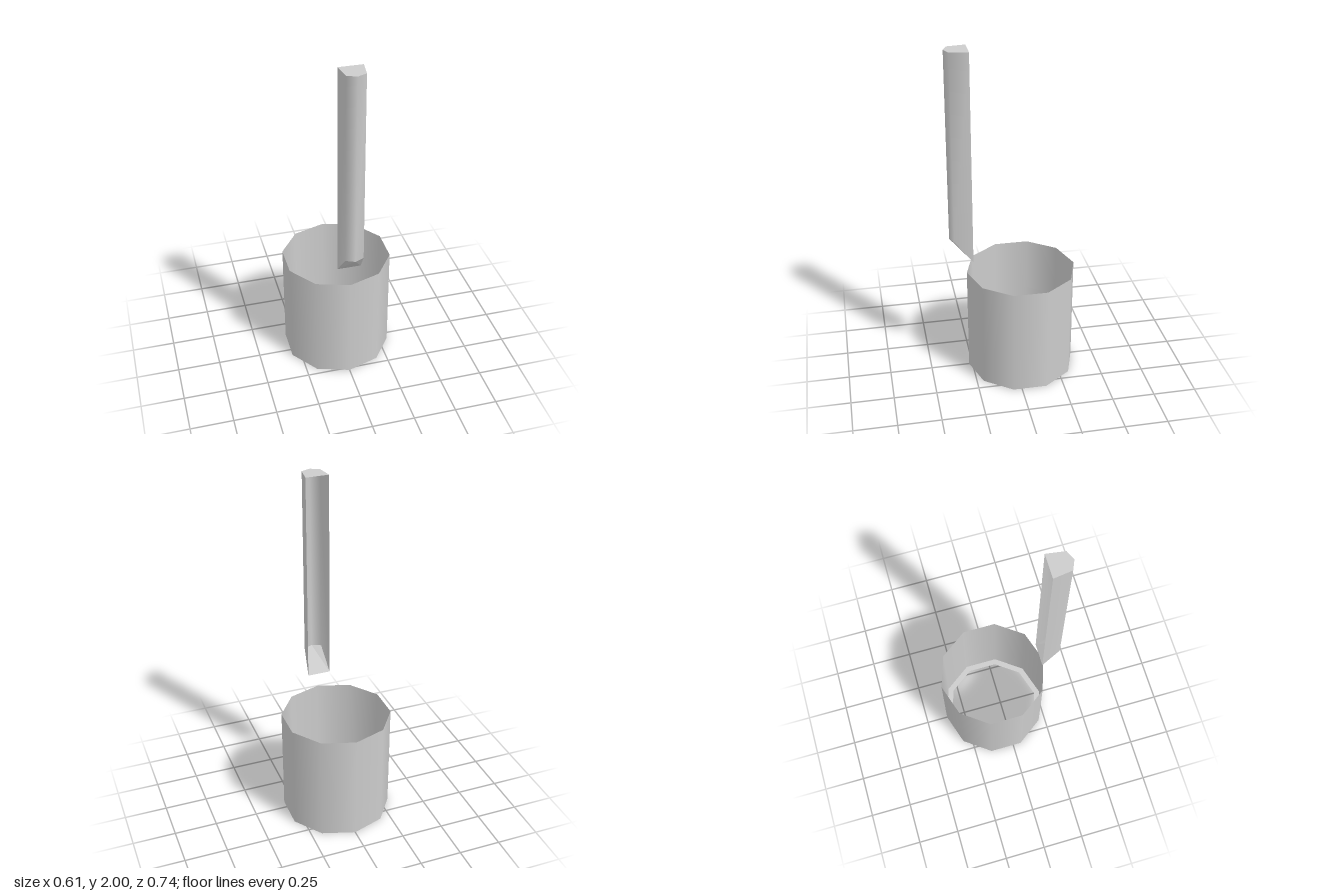
import * as THREE from 'three';

const grey = new THREE.MeshStandardMaterial({ color: 0xcccccc, side: THREE.DoubleSide });
grey.name = 'plain grey';

function addPart(parent, name, geometry) {
  const mesh = new THREE.Mesh(geometry, grey);
  mesh.name = name;
  parent.add(mesh);
  return mesh;
}

// Indexed surface with normals smoothed over shared corners
function surface(points, index) {
  const geometry = new THREE.BufferGeometry();
  geometry.setAttribute('position', new THREE.Float32BufferAttribute(points.flat(), 3));
  geometry.setIndex(index);
  geometry.computeVertexNormals();
  return geometry;
}

export function createModel() {
  const model = new THREE.Group();
  model.name = 'sleeveAndBar';

  // Open ten-sided sleeve with a flat rim around its lower opening
  const sleeve = new THREE.Group();
  sleeve.name = 'sleeve';
  sleeve.position.z = -0.049;
  model.add(sleeve);
  const radius = 0.32, height = 0.65, sides = 10;
  addPart(sleeve, 'sleeveWall',
    new THREE.CylinderGeometry(radius, radius, height, sides, 1, true).translate(0, height / 2, 0));
  addPart(sleeve, 'lowerRim',
    new THREE.RingGeometry(0.284, radius, sides, 1, Math.PI / 2).rotateX(Math.PI / 2));

  // Upright bar, open along its back: x, z and lower end of each long edge
  const bar = new THREE.Group();
  bar.name = 'bar';
  model.add(bar);
  const edges = [
    [0.068, 0.24, 0.755], [0.053, 0.345, 0.885], [0, 0.368, 0.885],
    [-0.053, 0.345, 0.885], [-0.068, 0.24, 0.755],
  ];
  const low = edges.map(([x, z, y]) => [x, y, z]);
  const top = edges.map(([x, z]) => [x, 2, z]);

  const skin = [];
  for (let i = 0; i < 4; i++) {
    skin.push(i + 1, i, i + 5, i + 1, i + 5, i + 6);
  }
  addPart(bar, 'barSides', surface([...low, ...top], skin));
  addPart(bar, 'barTop', surface(top, [0, 2, 1, 0, 4, 2, 2, 4, 3]));

  // Slanted lower end, folded around the middle front edge
  addPart(bar, 'barSlantedEnd',
    surface(low, [0, 1, 2, 0, 2, 4, 2, 3, 4]).toNonIndexed()).geometry.computeVertexNormals();

  return model;
}
